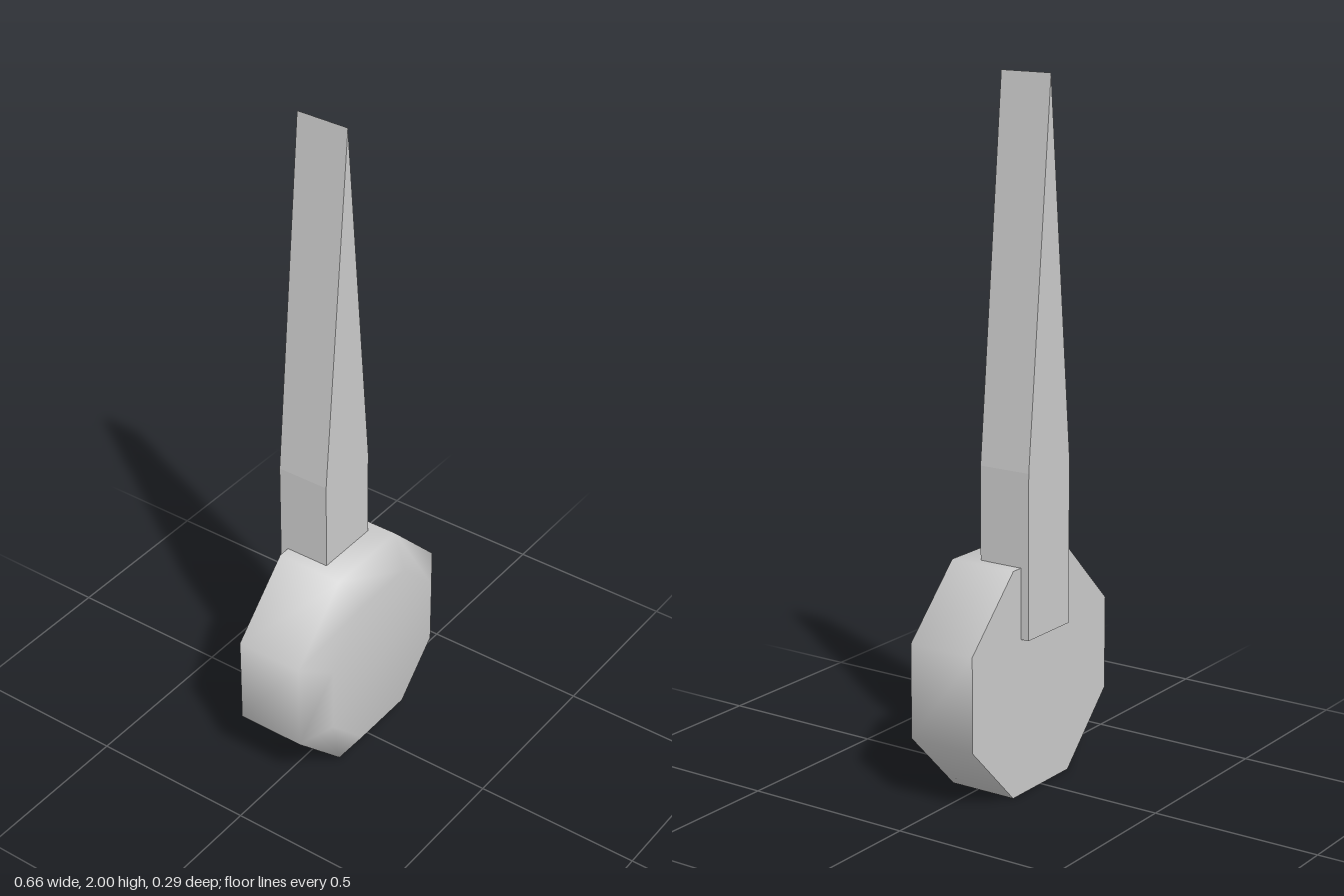
import * as THREE from 'three';

export function createModel() {
  const model = new THREE.Group();
  model.name = 'spikedWeight';
  const grey = new THREE.MeshStandardMaterial({ color: 0xcccccc });
  grey.name = 'grey';

  const add = (name, geometry, parent) => {
    const mesh = new THREE.Mesh(geometry, grey);
    mesh.name = name;
    parent.add(mesh);
    return mesh;
  };

  // Octagonal head: smooth sides, bevel and front face, closed by a flat back
  const head = new THREE.Group();
  head.name = 'head';
  head.position.y = 0.33;
  model.add(head);

  const toCorner = 1 / Math.cos(Math.PI / 8); // flat-to-flat radius to corner radius
  const profile = [[0.33, -0.12], [0.33, 0.086], [0.245, 0.143], [0, 0.143]]
    .map(([r, z]) => new THREE.Vector2(r * toCorner, z));
  const shell = new THREE.LatheGeometry(profile, 8, Math.PI / 8);
  shell.rotateX(Math.PI / 2);
  add('headShell', shell, head);

  const back = new THREE.CircleGeometry(0.33 * toCorner, 8, Math.PI / 8);
  back.rotateY(Math.PI);
  back.translate(0, 0, -0.12);
  add('headBack', back, head);

  // Blade: straight shank tapering to a point, set into the back of the head
  const outline = new THREE.Shape(
    [[-0.1, 0.455], [0.1, 0.455], [0.1, 0.93], [0, 2], [-0.1, 0.93]]
      .map(([x, y]) => new THREE.Vector2(x, y))
  );
  const blade = new THREE.ExtrudeGeometry(outline, { depth: 0.16, bevelEnabled: false });
  blade.translate(0, 0, -0.145);
  add('blade', blade, model);

  return model;
}
